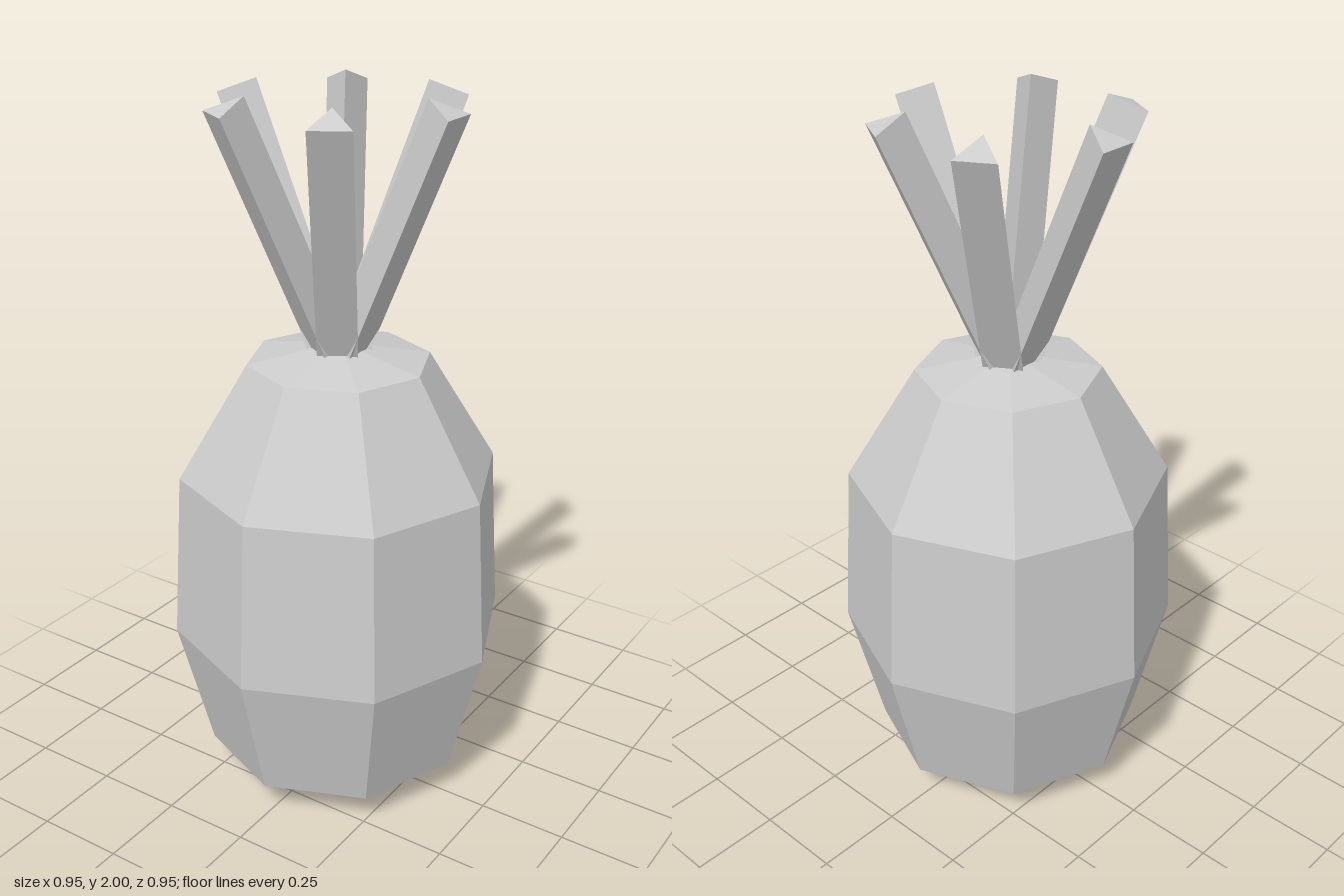
import * as THREE from 'three';

export function createModel() {
  const group = new THREE.Group();
  const grey = new THREE.MeshStandardMaterial({ color: 0xcccccc, flatShading: true });
  grey.name = 'plain grey';

  // Faceted eight-sided fruit, closed to a point at both ends
  const profile = [
    [0, 0], [0.38, 0.1], [0.475, 0.48], [0.446, 0.957], [0.253, 1.276], [0, 1.325],
  ].map(([r, y]) => new THREE.Vector2(r, y));
  const body = new THREE.Mesh(new THREE.LatheGeometry(profile, 8), grey);
  body.name = 'fruitBody';
  group.add(body);

  // Crown: six triangular leaves leaning outward, ridge towards the centre
  const crown = new THREE.Group();
  crown.name = 'crown';
  crown.position.y = 1.225;
  const leafGeometry = new THREE.CylinderGeometry(0.0635, 0.0635, 0.76, 3);
  leafGeometry.rotateY(Math.PI).translate(0, 0.432, 0).rotateX(0.4);
  for (let i = 0; i < 6; i++) {
    const leaf = new THREE.Mesh(leafGeometry, grey);
    leaf.name = `leaf${i + 1}`;
    leaf.rotation.y = Math.PI / 6 + (i * Math.PI) / 3;
    crown.add(leaf);
  }
  group.add(crown);

  return group;
}
